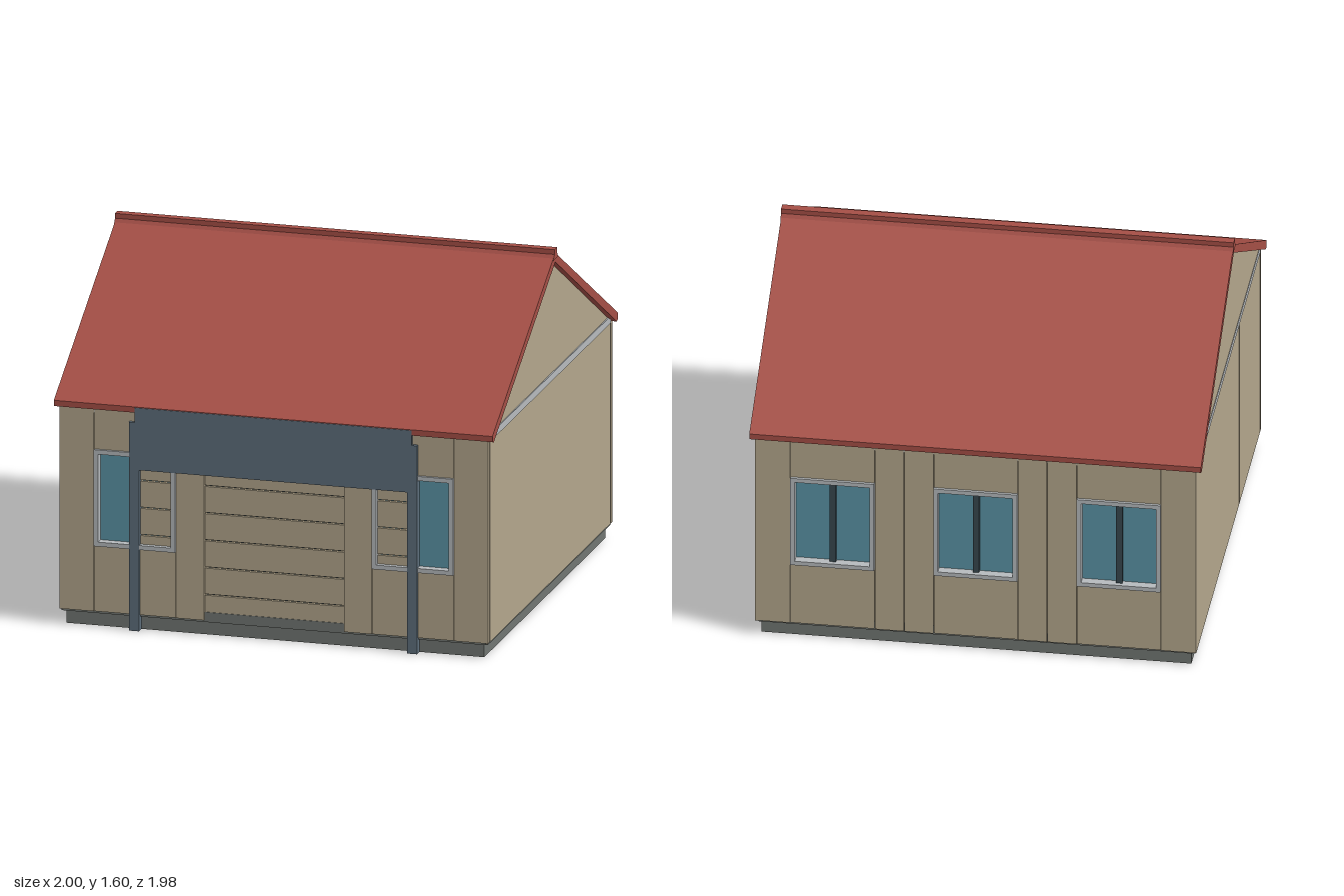
import * as THREE from 'three';

const mat = (color, side = THREE.FrontSide) => new THREE.MeshStandardMaterial({ color, side });
const tan = mat(0xb3a68c), red = mat(0xa54f46), slate = mat(0x5e6e7b), grey = mat(0x717672);
const metal = mat(0xb6babd), teal = mat(0x5a93a5), dark = mat(0x37474f);

// Box given by its limits on each axis
function box(parent, name, m, x0, x1, y0, y1, z0, z1) {
  const mesh = new THREE.Mesh(new THREE.BoxGeometry(x1 - x0, y1 - y0, z1 - z0), m);
  mesh.position.set((x0 + x1) / 2, (y0 + y1) / 2, (z0 + z1) / 2);
  mesh.name = name;
  parent.add(mesh);
  return mesh;
}

// Profile of [z, y] points extruded along x
function prism(parent, name, m, points, x0, x1) {
  const shape = new THREE.Shape(points.map(([z, y]) => new THREE.Vector2(-z, y)));
  const geo = new THREE.ExtrudeGeometry(shape, { depth: x1 - x0, bevelEnabled: false });
  geo.rotateY(Math.PI / 2);
  geo.translate(x0, 0, 0);
  const mesh = new THREE.Mesh(geo, m);
  mesh.name = name;
  parent.add(mesh);
}

const PITCH = 0.6325; // spacing of wall panels
const W0 = 0.07, W1 = 1.005; // wall bottom and top
const SILL = 0.37, HEAD = 0.81, HALF = 0.185; // window opening

// Two-pane window facing +z, centred on x = 0
function windowUnit() {
  const g = new THREE.Group();
  g.name = 'window';
  const f = 0.02;
  for (const s of [-1, 1]) {
    const a = s * HALF, b = s * (HALF - f);
    box(g, 'windowJamb', metal, Math.min(a, b), Math.max(a, b), SILL, HEAD, 0.94, 0.985);
  }
  box(g, 'windowSill', metal, -HALF, HALF, SILL, SILL + f, 0.94, 0.985);
  box(g, 'windowHead', metal, -HALF, HALF, HEAD - f, HEAD, 0.94, 0.985);
  box(g, 'windowGlass', teal, -HALF + f, HALF - f, SILL + f, HEAD - f, 0.935, 0.945);
  box(g, 'windowMullion', dark, -0.014, 0.014, SILL + f, HEAD - f, 0.94, 0.965);
  return g;
}

// Wall panel with a window opening, made of two jambs, apron and lintel
function windowPanel(x) {
  const g = new THREE.Group();
  g.name = 'windowPanel';
  const h = PITCH / 2 - 0.002;
  box(g, 'panelSide', tan, -h, -HALF - 0.002, W0, W1, 0.945, 0.975);
  box(g, 'panelSide', tan, HALF + 0.002, h, W0, W1, 0.945, 0.975);
  box(g, 'panelApron', tan, -HALF, HALF, W0, SILL, 0.945, 0.972);
  box(g, 'panelLintel', tan, -HALF, HALF, HEAD, W1, 0.945, 0.972);
  g.add(windowUnit());
  g.position.x = x;
  return g;
}

export function createModel() {
  const house = new THREE.Group();
  house.name = 'house';

  box(house, 'base', grey, -0.95, 0.95, 0, 0.06, -0.95, 0.95);

  // Tracks that hold the wall panels at bottom and top
  for (const s of [-1, 1]) {
    box(house, 'bottomTrack', grey, -0.96, 0.96, 0.06, 0.105, s * 0.95 - 0.015, s * 0.95 + 0.015);
    box(house, 'topTrack', metal, -0.974, 0.974, 0.975, 1.005, s * 0.955 - 0.015, s * 0.955 + 0.015);
    const x = s * 0.955;
    box(house, 'bottomTrackSide', grey, x - 0.015, x + 0.015, 0.06, 0.105, -0.96, 0.96);
    box(house, 'topTrackSide', metal, x - 0.015, x + 0.021, 0.985, 1.018, -0.95, 0.95)
      .position.x = s * 0.959;
  }

  // Front has two window panels, back has three
  const front = new THREE.Group(), back = new THREE.Group();
  front.name = 'frontWall';
  back.name = 'backWall';
  for (const i of [-1, 1]) front.add(windowPanel(i * PITCH));
  for (const i of [-1, 0, 1]) back.add(windowPanel(i * PITCH));
  back.rotation.y = Math.PI;
  house.add(front, back);

  // Side walls, corner posts and gables
  for (const s of [-1, 1]) {
    const x0 = Math.min(s * 0.945, s * 0.975), x1 = Math.max(s * 0.945, s * 0.975);
    for (const i of [-1, 0, 1]) {
      const z = i * PITCH, h = PITCH / 2 - 0.002;
      box(house, 'sidePanel', tan, x0, x1, W0, 1.015, z - h, z + h);
    }
    for (const t of [-0.963, 0.963])
      box(house, 'cornerPost', tan, x0, x1, W0, W1, t - 0.013, t + 0.013);
    prism(house, 'gable', tan, [[0.95, 1.015], [0, 1.545], [-0.95, 1.015]], x0, x1 - (s > 0 ? 0.003 : 0));
  }
  // Dark lining behind the panel seams
  box(house, 'wallLining', dark, -0.942, 0.942, 0.06, 1.0, -0.93, 0.93);

  // Slatted garage door, running behind the window frames
  box(house, 'doorBacking', dark, -0.315, 0.315, 0.065, 0.95, 0.93, 0.945);
  for (let i = 0; i < 6; i++) {
    const y = 0.06 + i * 0.124;
    const w = i < 2 ? 0.318 : 0.61;
    box(house, 'doorSlat', tan, -w, w, y + 0.003, y + 0.121, 0.946, 0.962);
  }

  // Portal around the door
  for (const s of [-1, 1])
    box(house, 'portalPost', slate, s * 0.633 - 0.023, s * 0.633 + 0.023, 0, 0.95, 0.95, 0.99);
  box(house, 'portalBeam', slate, -0.63, 0.63, 0.735, 1.018, 0.95, 0.991);

  // Roof slopes and ridge cap
  for (const s of [-1, 1]) {
    const pts = [[0, 1.577], [0.988, 1.021], [0.988, 0.995], [0.965, 0.988], [0, 1.535]];
    prism(house, 'roofSlope', red, pts.map(([z, y]) => [s * z, y]), -0.998, 0.998);
  }
  const cap = [[0.038, 1.55], [0.02, 1.575], [0.02, 1.597], [-0.02, 1.597], [-0.02, 1.575], [-0.038, 1.55]];
  prism(house, 'ridgeCap', red, cap, -1, 1);

  return house;
}
